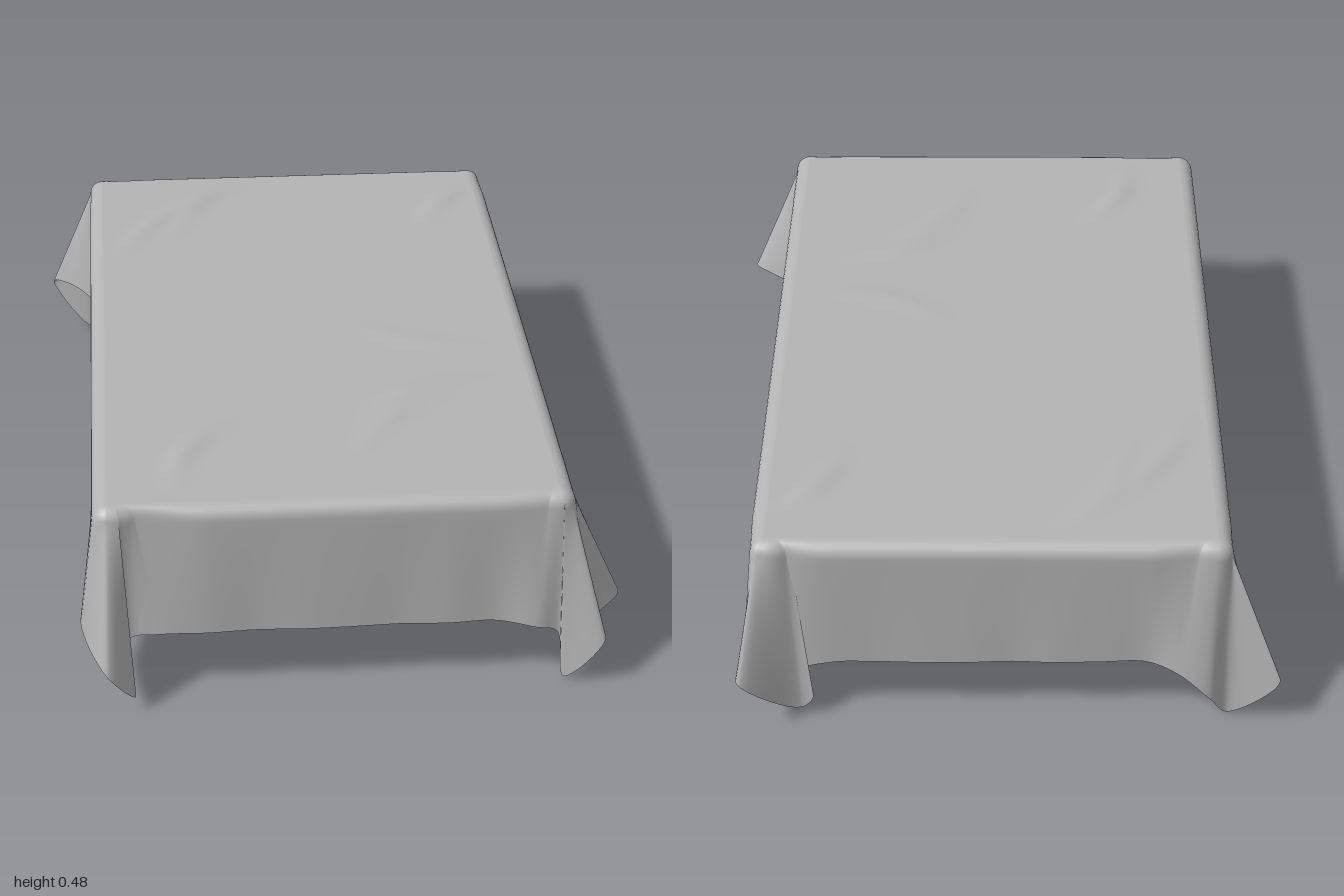
import * as THREE from 'three';

const TOP = 0.47, ROUND = 0.035;
// flat area of the cloth, inside the rounded rim
const X0 = -0.51, X1 = 0.5, Z0 = -0.87, Z1 = 0.84;
const clamp = THREE.MathUtils.clamp;

// hem of the folds at each corner, in order round the cloth
const CORNERS = [
  // front right
  [[-0.55, 0.15, 0.7], [-0.58, 0.157, 0.83], [-0.525, 0.12, 0.995], [-0.46, 0.03, 0.95],
    [-0.49, 0.1, 0.915], [-0.47, 0.14, 0.88], [-0.4, 0.152, 0.886]],
  // front left
  [[0.36, 0.15, 0.88], [0.45, 0.14, 0.9], [0.5, 0.12, 0.89], [0.515, 0.01, 0.91],
    [0.605, 0.12, 0.93], [0.59, 0.13, 0.86], [0.655, 0.16, 0.79], [0.545, 0.153, 0.68]],
  // back left
  [[0.538, 0.14, -0.75], [0.56, 0.135, -0.9], [0.565, 0.15, -0.995], [0.43, 0.025, -0.925],
    [0.4, 0.06, -0.925], [0.43, 0.12, -0.91], [0.36, 0.146, -0.91]],
  // back right
  [[-0.36, 0.148, -0.907], [-0.43, 0.13, -0.93], [-0.5, 0.07, -0.94], [-0.55, 0.003, -0.91],
    [-0.66, 0.13, -0.95], [-0.62, 0.15, -0.9], [-0.546, 0.148, -0.78]],
];

// corner folds joined by straight, slightly rippled sides
function hemPoints() {
  const points = [], between = 6;
  CORNERS.forEach((corner, k) => {
    points.push(...corner.map(p => new THREE.Vector3(...p)));
    const a = points[points.length - 1];
    const b = new THREE.Vector3(...CORNERS[(k + 1) % 4][0]);
    const out = new THREE.Vector3(a.z - b.z, 0, b.x - a.x).normalize();
    for (let i = 1; i <= between; i++) {
      const ripple = 0.003 * Math.sin(i * 2.3 + k);
      points.push(a.clone().lerp(b, i / (between + 1)).addScaledVector(out, ripple));
    }
  });
  return points;
}

// where a hem point hangs from: loose corner folds gather at the corner
function anchorOf({ x, z }) {
  const a = new THREE.Vector3(clamp(x, X0, X1), TOP, clamp(z, Z0, Z1));
  if (Math.abs(x) > 0.39 && Math.abs(z) > 0.78) {
    a.lerp(new THREE.Vector3(x < 0 ? X0 : X1, TOP, z < 0 ? Z0 : Z1), 0.7);
  }
  return a;
}

// pairs of hem and anchor points all the way round
function perimeter(steps = 8) {
  const points = hemPoints(), n = points.length;
  const anchors = points.map(anchorOf);
  const curve = new THREE.CatmullRomCurve3(points, true);
  return Array.from({ length: n * steps }, (_, i) => {
    const j = Math.floor(i / steps);
    const hem = curve.getPoint(i / (n * steps));
    hem.y = Math.max(hem.y, 0);
    return { hem, from: anchors[j].clone().lerp(anchors[(j + 1) % n], (i % steps) / steps) };
  });
}

// rounded rim and hanging skirt as one closed strip
function skirtGeometry() {
  const columns = perimeter(), rimRows = 6, dropRows = 14, rows = rimRows + dropRows;
  const pos = [], index = [];
  for (const { hem, from } of columns) {
    const out = new THREE.Vector3(hem.x - from.x, 0, hem.z - from.z).normalize();
    const edge = from.clone().addScaledVector(out, ROUND).setY(TOP - ROUND);
    for (let r = 0; r <= rows; r++) {
      const p = from.clone();
      if (r <= rimRows) {
        const a = (r / rimRows) * Math.PI / 2;
        p.addScaledVector(out, ROUND * Math.sin(a));
        p.y -= ROUND * (1 - Math.cos(a));
      } else {
        p.copy(edge).lerp(hem, (r - rimRows) / dropRows);
      }
      pos.push(p.x, p.y, p.z);
    }
  }
  const w = rows + 1;
  for (let c = 0; c < columns.length; c++) {
    const d = (c + 1) % columns.length;
    for (let r = 0; r < rows; r++) {
      const a = c * w + r, b = d * w + r;
      index.push(a, a + 1, b, b, a + 1, b + 1);
    }
  }
  const g = new THREE.BufferGeometry();
  g.setAttribute('position', new THREE.Float32BufferAttribute(pos, 3));
  g.setIndex(index);
  g.computeVertexNormals();
  return g;
}

// soft creases: x, z, direction, half length, height
const CREASES = [
  [-0.36, -0.62, 2.2, 0.2, 0.008], [-0.26, -0.7, 2.1, 0.16, 0.006],
  [0.4, -0.68, 2.2, 0.12, 0.007], [-0.33, 0.62, 2, 0.13, 0.008],
  [0.22, 0.37, 2.6, 0.14, 0.008], [0.15, 0.5, 2.3, 0.14, 0.006],
  [0.25, 0.12, 0.4, 0.14, 0.004],
];

function creaseHeight(x, z) {
  let h = 0;
  for (const [cx, cz, dir, len, amp] of CREASES) {
    const dx = x - cx, dz = z - cz;
    const u = (dx * Math.cos(dir) + dz * Math.sin(dir)) / len;
    const v = (-dx * Math.sin(dir) + dz * Math.cos(dir)) / 0.03 + u * u * 0.8;
    h += amp * Math.exp(-u * u * 1.5 - v * v);
  }
  const rim = Math.min(x - X0, X1 - x, z - Z0, Z1 - z);
  return h * clamp(rim / 0.07, 0, 1);
}

function topGeometry() {
  const g = new THREE.PlaneGeometry(X1 - X0, Z1 - Z0, 80, 130);
  g.rotateX(-Math.PI / 2);
  g.translate((X0 + X1) / 2, TOP, (Z0 + Z1) / 2);
  const p = g.attributes.position;
  for (let i = 0; i < p.count; i++) p.setY(i, TOP + creaseHeight(p.getX(i), p.getZ(i)));
  g.computeVertexNormals();
  return g;
}

export function createModel() {
  const cloth = new THREE.MeshStandardMaterial({ color: 0xb4b4b4, side: THREE.DoubleSide });
  cloth.name = 'grey cloth';
  const group = new THREE.Group();
  group.name = 'tablecloth';
  const top = new THREE.Mesh(topGeometry(), cloth);
  top.name = 'clothTop';
  const skirt = new THREE.Mesh(skirtGeometry(), cloth);
  skirt.name = 'clothSkirt';
  group.add(top, skirt);
  return group;
}
